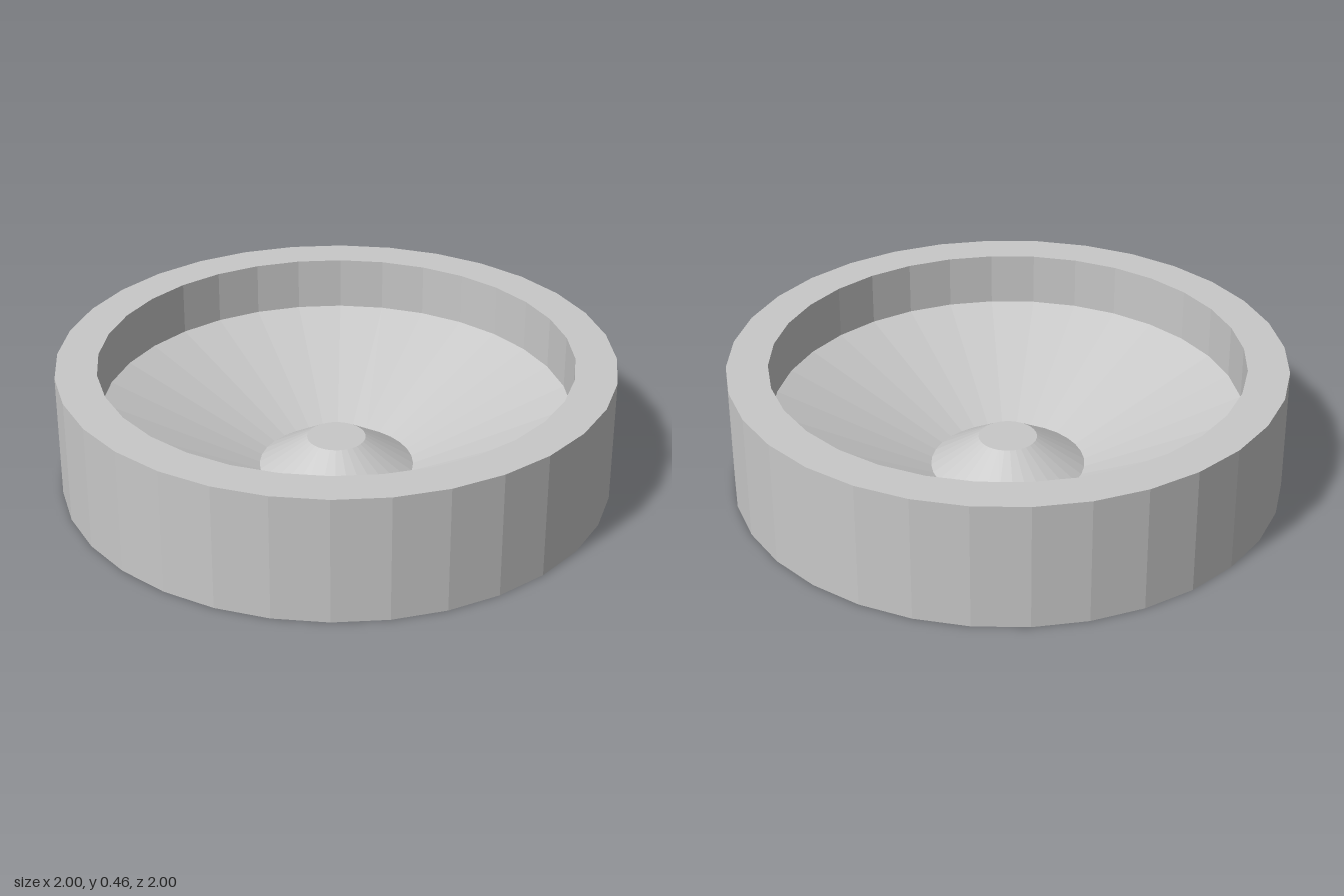
import * as THREE from 'three';

const SIDES = 32;

// Open faceted shell revolved from a short [radius, height] profile
function shell(name, profile, material) {
  const points = profile.map(([r, y]) => new THREE.Vector2(r, y));
  const mesh = new THREE.Mesh(new THREE.LatheGeometry(points, SIDES), material);
  mesh.name = name;
  return mesh;
}

export function createModel() {
  const group = new THREE.Group();
  group.name = 'speakerDriver';

  const grey = new THREE.MeshStandardMaterial({ color: 0xc8c8c8 });
  grey.name = 'grey';
  grey.flatShading = true;
  grey.side = THREE.DoubleSide;

  // Outer wall, flat rim and inner wall, open underneath
  group.add(shell('outerWall', [[1, 0], [1, 0.46]], grey));
  group.add(shell('rim', [[1, 0.46], [0.852, 0.46]], grey));
  group.add(shell('innerWall', [[0.852, 0.46], [0.852, 0.262]], grey));

  // Sloping cone down to the centre
  group.add(shell('cone', [[0.852, 0.262], [0.282, 0.025]], grey));

  // Raised centre cap with a flat top
  group.add(shell('centreCap', [[0.282, 0.025], [0.107, 0.135], [0, 0.135]], grey));

  return group;
}
